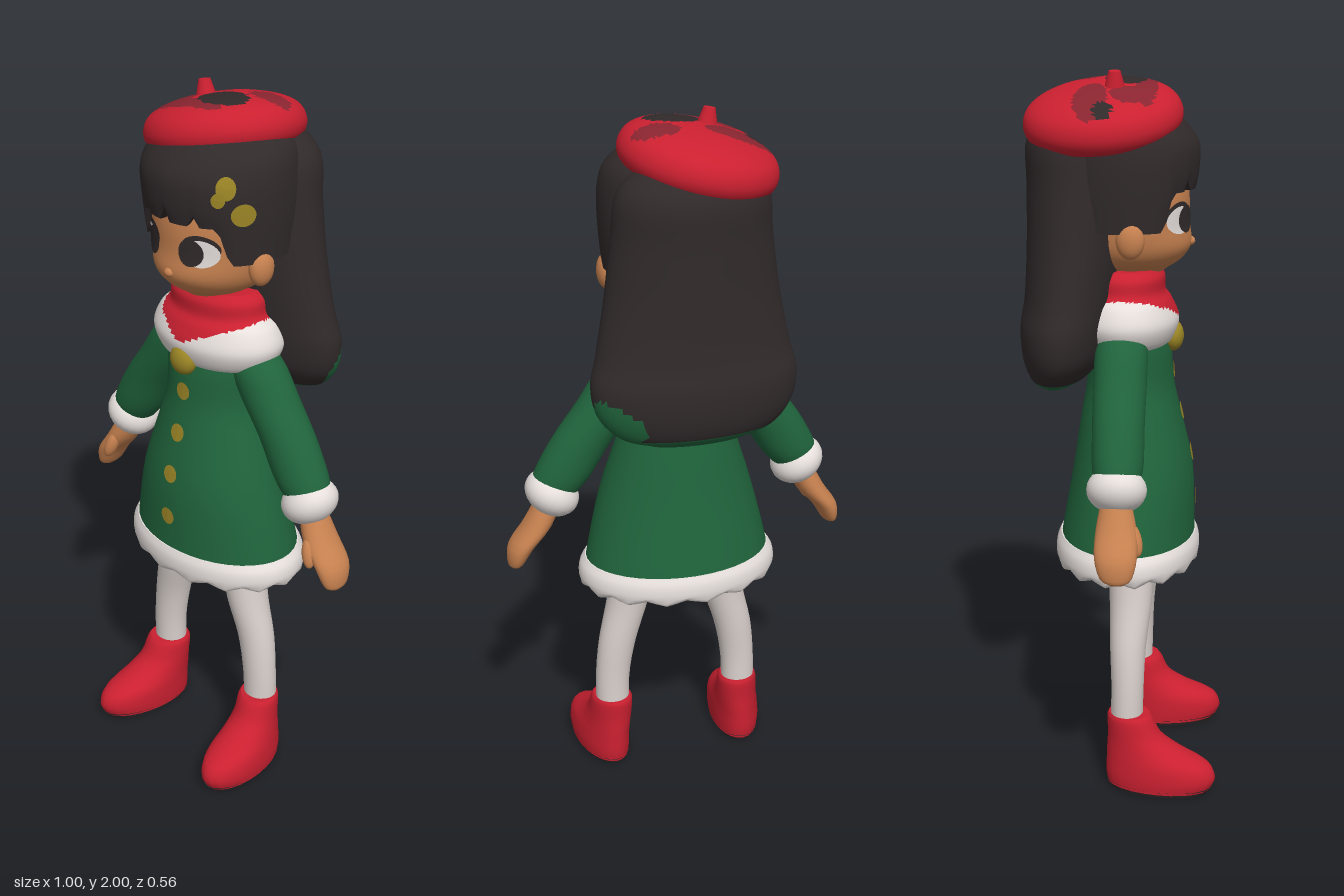
import * as THREE from 'three';

const mat = (name, color) => {
  const m = new THREE.MeshStandardMaterial({ color });
  m.name = name;
  return m;
};

// Smooth tube of horizontal ellipses; each ring is [y, centreX, centreZ, radiusX, radiusZ].
function loft(rings, rows = 16, cols = 32, warp = null) {
  const mid = new THREE.CatmullRomCurve3(rings.map(r => new THREE.Vector3(r[1], r[0], r[2])), false, 'catmullrom', 0.5);
  const rad = new THREE.CatmullRomCurve3(rings.map(r => new THREE.Vector3(r[3], r[4], 0)), false, 'catmullrom', 0.5);
  const pos = [], idx = [];
  const addRing = t => {
    const c = mid.getPoint(t), r = rad.getPoint(t);
    for (let j = 0; j < cols; j++) {
      const a = (j / cols) * Math.PI * 2;
      const p = new THREE.Vector3(c.x + Math.sin(a) * r.x, c.y, c.z + Math.cos(a) * r.y);
      if (warp) warp(p, a > Math.PI ? a - Math.PI * 2 : a, t);
      pos.push(p.x, p.y, p.z);
    }
  };
  for (let i = 0; i <= rows; i++) addRing(i / rows);
  for (let i = 0; i < rows; i++) {
    for (let j = 0; j < cols; j++) {
      const a = i * cols + j, b = i * cols + (j + 1) % cols;
      idx.push(a, b, b + cols, a, b + cols, a + cols);
    }
  }
  // flat end caps with their own vertices
  for (const t of [0, 1]) {
    const start = pos.length / 3, c = mid.getPoint(t);
    addRing(t);
    pos.push(c.x, c.y, c.z);
    for (let j = 0; j < cols; j++) {
      const a = start + j, b = start + (j + 1) % cols;
      if (t) idx.push(a, b, start + cols); else idx.push(b, a, start + cols);
    }
  }
  const g = new THREE.BufferGeometry();
  g.setAttribute('position', new THREE.Float32BufferAttribute(pos, 3));
  g.setIndex(idx);
  g.computeVertexNormals();
  return g;
}

// Sort faces into material groups by a rule on the face centre.
function paint(geo, count, rule) {
  const p = geo.attributes.position, ix = geo.index.array;
  const lists = Array.from({ length: count }, () => []);
  for (let i = 0; i < ix.length; i += 3) {
    const c = new THREE.Vector3();
    for (let k = 0; k < 3; k++) c.add(new THREE.Vector3().fromBufferAttribute(p, ix[i + k]));
    lists[rule(c.divideScalar(3))].push(ix[i], ix[i + 1], ix[i + 2]);
  }
  geo.setIndex(lists.flat());
  geo.clearGroups();
  let start = 0;
  lists.forEach((l, m) => { geo.addGroup(start, l.length, m); start += l.length; });
  return geo;
}

// Thin oval laid on a surface, seen from angle a around the y axis.
function decal(target, u, y, rx, ry, a = 0, lift = 0.004) {
  const g = new THREE.RingGeometry(0.001, 1, 24, 4);
  const p = g.attributes.position, ray = new THREE.Raycaster();
  const dir = new THREE.Vector3(Math.sin(a), 0, Math.cos(a));
  const side = new THREE.Vector3(Math.cos(a), 0, -Math.sin(a));
  for (let i = 0; i < p.count; i++) {
    const o = dir.clone().addScaledVector(side, u + p.getX(i) * rx);
    o.y = y + p.getY(i) * ry;
    ray.set(o, dir.clone().negate());
    const hit = ray.intersectObject(target)[0];
    const q = hit ? hit.point : o.addScaledVector(dir, -0.85);
    q.addScaledVector(dir, lift);
    p.setXYZ(i, q.x, q.y, q.z);
  }
  g.computeVertexNormals();
  return g;
}

export function createModel() {
  const model = new THREE.Group();
  const red = mat('red', 0xcb2030), maroon = mat('maroon', 0x8a2530), green = mat('green', 0x20643c);
  const white = mat('fur white', 0xe6dfdc), stocking = mat('stocking white', 0xd9d0cc);
  const skin = mat('skin', 0xc88250), hair = mat('hair', 0x312a2b), gold = mat('gold', 0x9c8626);
  const add = (name, geo, material, parent = model) => {
    const m = new THREE.Mesh(geo, material);
    m.name = name;
    parent.add(m);
    return m;
  };
  const ball = (name, material, x, y, z, rx, ry, rz) => {
    const m = add(name, new THREE.SphereGeometry(1, 24, 16), material);
    m.position.set(x, y, z);
    m.scale.set(rx, ry, rz);
    return m;
  };

  // Coat and fur hem
  const coat = add('coat', loft([
    [0.66, 0, 0.015, 0.275, 0.195], [0.73, 0, 0.018, 0.266, 0.188], [0.9, 0, 0.03, 0.225, 0.17],
    [1.05, 0, 0.025, 0.178, 0.142], [1.15, 0, 0.022, 0.148, 0.122], [1.25, 0, 0.02, 0.15, 0.115],
    [1.33, 0, 0.01, 0.15, 0.1], [1.38, 0, 0.01, 0.1, 0.07]], 24, 40), green);
  add('hem', loft([
    [0.65, 0, 0.015, 0.25, 0.175], [0.635, 0, 0.015, 0.275, 0.193], [0.655, 0, 0.015, 0.291, 0.204],
    [0.69, 0, 0.016, 0.288, 0.203], [0.715, 0, 0.017, 0.272, 0.193]], 12, 60,
  (p, a, t) => { if (t < 0.5) p.y += 0.008 * Math.sin(a * 15); }), white);
  for (const y of [1.185, 1.065, 0.945, 0.815]) add('button', decal(coat, 0, y, 0.025, 0.025), gold);

  // Fur collar with the scarf above it
  add('collarAndScarf', paint(loft([
    [1.26, 0, 0.01, 0.15, 0.11], [1.28, 0, 0.01, 0.188, 0.132], [1.33, 0, 0.01, 0.21, 0.146],
    [1.38, 0, 0.01, 0.19, 0.127], [1.41, 0, 0.01, 0.157, 0.108], [1.45, 0, 0.01, 0.15, 0.106],
    [1.475, 0, 0.01, 0.13, 0.09]], 36, 64), 2,
  c => (c.y > Math.min(1.405, 1.335 + 0.42 * Math.abs(c.x)) ? 1 : 0)), [white, red]);
  ball('bell', gold, 0, 1.28, 0.14, 0.043, 0.043, 0.03);

  // Limbs, mirrored
  for (const s of [1, -1]) {
    const limb = (name, rings, material, rows, warp) =>
      add(name, loft(rings.map(r => [r[0], r[1] * s, r[2], r[3], r[4]]), rows, 24, warp), material);
    limb('sleeve', [[0.95, 0.355, 0.015, 0.065, 0.055], [1.0, 0.333, 0.015, 0.084, 0.068],
      [1.1, 0.275, 0.012, 0.088, 0.07], [1.2, 0.2, 0.01, 0.09, 0.072],
      [1.28, 0.15, 0.01, 0.085, 0.07], [1.34, 0.11, 0.01, 0.06, 0.05]], green, 18);
    ball('cuff', white, 0.365 * s, 0.945, 0.015, 0.08, 0.062, 0.08).rotation.z = 0.55 * s;
    limb('hand', [[0.725, 0.48, 0.025, 0.012, 0.02], [0.74, 0.476, 0.022, 0.023, 0.042],
      [0.79, 0.458, 0.02, 0.036, 0.056], [0.85, 0.412, 0.018, 0.042, 0.054],
      [0.92, 0.378, 0.015, 0.038, 0.04]], skin, 12);
    const thumb = ball('thumb', skin, 0.415 * s, 0.825, 0.066, 0.019, 0.045, 0.02);
    thumb.rotation.set(-0.25, 0, 0.3 * s);
    limb('leg', [[0.18, 0.2, 0.028, 0.05, 0.046], [0.3, 0.197, 0.03, 0.051, 0.046],
      [0.42, 0.18, 0.03, 0.056, 0.051], [0.55, 0.146, 0.035, 0.062, 0.06],
      [0.68, 0.125, 0.03, 0.068, 0.065]], stocking, 14);
    const splay = p => { p.x += s * 0.1 * (p.z - 0.03); };
    limb('shoe', [[0.012, 0.21, 0.122, 0.074, 0.148], [0.045, 0.21, 0.127, 0.077, 0.157],
      [0.085, 0.208, 0.118, 0.075, 0.147], [0.12, 0.205, 0.082, 0.068, 0.11],
      [0.16, 0.202, 0.052, 0.063, 0.078], [0.21, 0.2, 0.038, 0.061, 0.066],
      [0.225, 0.2, 0.035, 0.054, 0.058]], red, 18, splay);
    limb('sole', [[0, 0.21, 0.122, 0.066, 0.138], [0.02, 0.21, 0.124, 0.075, 0.152]], hair, 2, splay);
  }

  // Head, ears and face
  const head = add('head', loft([
    [1.44, 0, 0.02, 0.06, 0.06], [1.47, 0, 0.02, 0.09, 0.1], [1.5, 0, 0.02, 0.135, 0.143],
    [1.54, 0, 0.02, 0.16, 0.168], [1.6, 0, 0.02, 0.172, 0.162], [1.68, 0, 0.01, 0.18, 0.17],
    [1.78, 0, 0, 0.17, 0.16]], 30, 48), skin);
  ball('nose', skin, 0, 1.545, 0.184, 0.016, 0.013, 0.014);
  for (const s of [1, -1]) {
    ball('ear', skin, 0.188 * s, 1.572, 0.035, 0.028, 0.05, 0.038);
    add('eyelash', decal(head, 0.088 * s, 1.627, 0.047, 0.036, 0, 0.003), hair);
    add('eyeWhite', decal(head, 0.093 * s, 1.614, 0.041, 0.037, 0, 0.005), white);
    add('iris', decal(head, 0.07 * s, 1.615, 0.033, 0.037, 0, 0.008), hair);
  }

  // Fringe cap: hangs lower at the sides, jagged at the front
  const fringe = add('fringe', loft([
    [1.69, 0, 0, 0.205, 0.198], [1.74, 0, 0, 0.214, 0.207], [1.81, 0, 0, 0.214, 0.205],
    [1.87, 0, -0.01, 0.195, 0.175], [1.92, -0.01, -0.02, 0.14, 0.13]], 16, 72, (p, a, t) => {
    const k = (1 - t) ** 3, f = Math.abs(a);
    const drop = THREE.MathUtils.smoothstep(f, 0.72, 0.95);
    p.y -= k * 0.1 * drop;
    if (drop < 0.01) p.y += k * 0.035 * Math.max(0, Math.cos(a * 15)) ** 6;
  }), hair);
  add('hairClip', decal(fringe, 0, 1.8, 0.026, 0.03, 0.87), gold);
  add('hairClip', decal(fringe, -0.02, 1.77, 0.018, 0.02, 0.87), gold);
  add('hairClip', decal(fringe, 0, 1.73, 0.033, 0.03, 1.08), gold);

  // Long back hair, green along its lower edge
  add('backHair', paint(loft([
    [1.15, 0, -0.18, 0.14, 0.045], [1.18, 0, -0.172, 0.22, 0.085], [1.24, 0, -0.158, 0.272, 0.118],
    [1.32, 0, -0.15, 0.285, 0.13], [1.4, 0, -0.138, 0.266, 0.13], [1.55, 0, -0.125, 0.237, 0.136],
    [1.7, 0, -0.12, 0.216, 0.14], [1.82, 0, -0.125, 0.2, 0.133], [1.9, 0, -0.12, 0.13, 0.08]], 40, 56), 2,
  c => (c.y < 1.182 || (c.x > 0.1 && Math.hypot((c.y - 1.235) / 0.06, (c.z + 0.2) / 0.05) < 1) ? 1 : 0)), [hair, green]);

  // Tilted beret with darker patches on the crown
  const beret = new THREE.Group();
  beret.name = 'beret';
  beret.position.set(-0.04, 1.885, -0.05);
  beret.rotation.set(-0.08, 0, 0.22);
  model.add(beret);
  const profile = new THREE.SplineCurve([[0.13, -0.045], [0.19, -0.052], [0.214, -0.015], [0.2, 0.03],
    [0.15, 0.06], [0.07, 0.078], [0.001, 0.082]].map(q => new THREE.Vector2(...q))).getPoints(32);
  const inside = (c, x, z, rx, rz) => Math.hypot((c.x - x) / rx, (c.z - z) / rz) < 1;
  const dark = [[0.075, 0.065, 0.075, 0.055], [-0.15, 0.015, 0.035, 0.025]];
  const dull = [[-0.09, -0.02, 0.1, 0.045], [0.14, -0.035, 0.06, 0.04], [0.0, 0.125, 0.12, 0.028], [-0.07, 0.08, 0.05, 0.05]];
  add('crown', paint(new THREE.LatheGeometry(profile, 64), 3, c => {
    if (c.y < 0.025) return 0;
    if (dark.some(d => inside(c, ...d))) return 2;
    return dull.some(d => inside(c, ...d)) ? 1 : 0;
  }), [red, maroon, hair], beret);
  const stem = add('stem', new THREE.CylinderGeometry(0.016, 0.032, 0.06, 12), red);
  stem.position.set(-0.075, 1.97, -0.015);
  stem.rotation.z = 0.15;

  return model;
}
